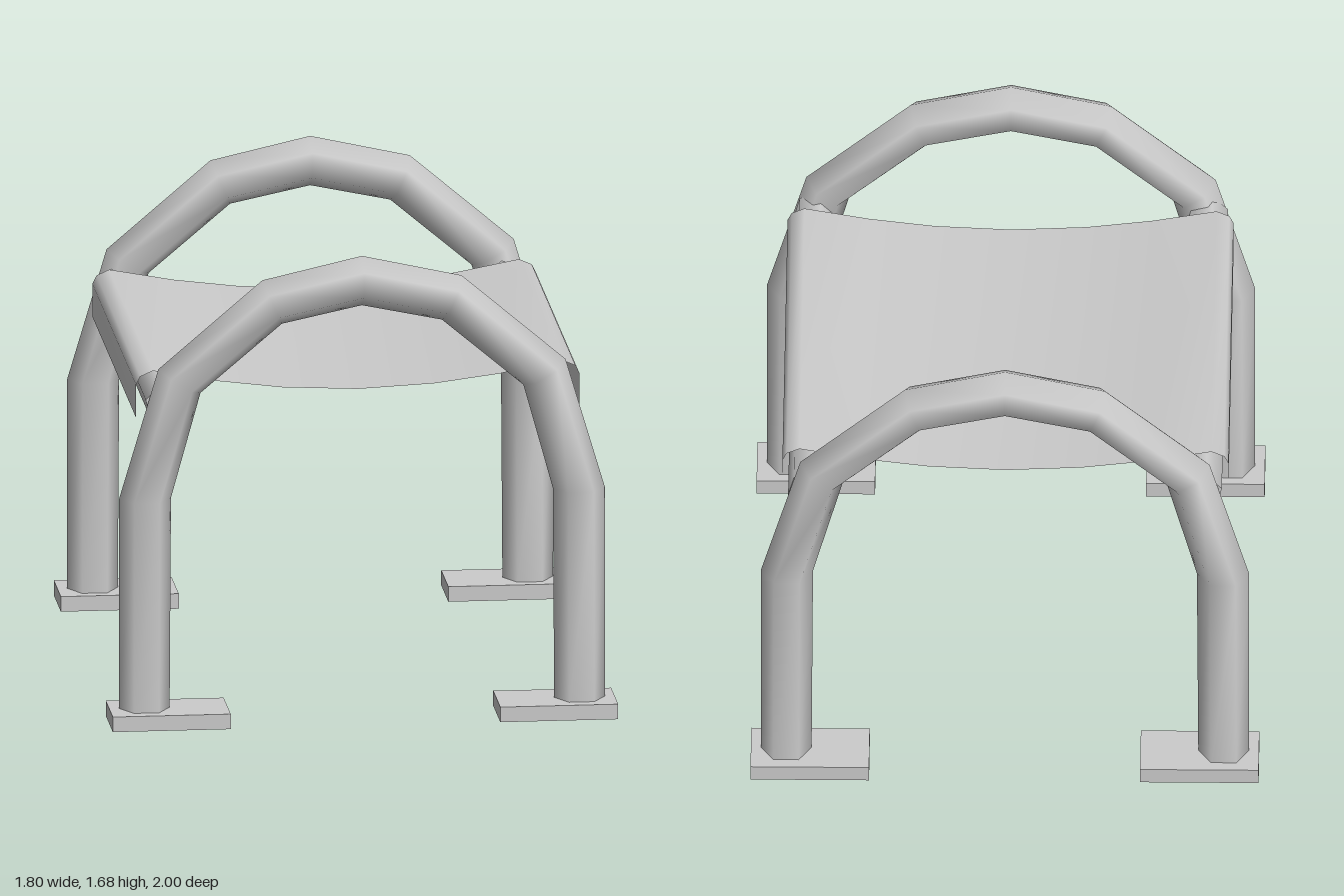
import * as THREE from 'three';

const grey = new THREE.MeshStandardMaterial({ color: 0xcccccc });
const greyDouble = new THREE.MeshStandardMaterial({ color: 0xcccccc, side: THREE.DoubleSide });

function add(group, name, geometry, material, x = 0, y = 0, z = 0) {
  const mesh = new THREE.Mesh(geometry, material);
  mesh.name = name;
  mesh.position.set(x, y, z);
  group.add(mesh);
  return mesh;
}

// Six-sided tube swept over mitred sections: [outer x, outer y, inner x, inner y]
function archGeometry() {
  const half = [
    [0.865, 0.03, 0.685, 0.03],
    [0.865, 0.82, 0.68, 0.82],
    [0.725, 1.29, 0.575, 1.2],
    [0.355, 1.605, 0.285, 1.445],
  ];
  const mirrored = half.map(([a, b, c, d]) => [-a, b, -c, d]).reverse();
  const stations = [...half, [0, 1.685, 0, 1.505], ...mirrored];
  const sides = 6, halfDepth = 0.09;
  const positions = [], index = [];
  stations.forEach(([ox, oy, ix, iy], i) => {
    for (let j = 0; j < sides; j++) {
      const a = (j / sides) * Math.PI * 2, c = Math.cos(a) / 2;
      positions.push(
        (ox + ix) / 2 + (ox - ix) * c,
        (oy + iy) / 2 + (oy - iy) * c,
        Math.sin(a) * halfDepth
      );
      if (i === stations.length - 1) continue;
      const k = (j + 1) % sides;
      const p = i * sides + j, q = i * sides + k;
      index.push(p, p + sides, q, q, p + sides, q + sides);
    }
  });
  const geometry = new THREE.BufferGeometry();
  geometry.setAttribute('position', new THREE.Float32BufferAttribute(positions, 3));
  geometry.setIndex(index);
  geometry.computeVertexNormals();
  return geometry;
}

// Thin sling: sagging in the middle, folded down over both rods
function slingGeometry() {
  const half = [[0.79, 1.08], [0.79, 1.2], [0.775, 1.23], [0.73, 1.25], [0.5, 1.207], [0.27, 1.178]];
  const profile = [...half.map(([x, y]) => [-x, y]), [0, 1.165], ...[...half].reverse()];
  const geometry = new THREE.PlaneGeometry(1, 1.48, profile.length - 1, 1);
  const pos = geometry.attributes.position;
  for (let i = 0; i < pos.count; i++) {
    const [x, y] = profile[i % profile.length];
    pos.setXYZ(i, x, y, -pos.getY(i));
  }
  geometry.computeVertexNormals();
  return geometry;
}

export function createModel() {
  const model = new THREE.Group();
  model.name = 'slingStool';

  const arch = archGeometry();
  const foot = new THREE.BoxGeometry(0.42, 0.055, 0.24);
  const rod = new THREE.CylinderGeometry(0.078, 0.078, 1.72, 6);
  rod.rotateY(Math.PI / 12).rotateX(Math.PI / 2);

  // Front and back arches, each on two foot plates
  for (const [end, sz] of [['front', 1], ['back', -1]]) {
    add(model, end + 'Arch', arch, grey, 0, 0, 0.877 * sz);
    for (const [side, sx] of [['Left', 1], ['Right', -1]]) {
      add(model, end + side + 'Foot', foot, grey, 0.69 * sx, 0.0275, 0.88 * sz);
    }
  }

  // Side rods joining the arches
  for (const [side, sx] of [['left', 1], ['right', -1]]) {
    add(model, side + 'Rod', rod, grey, 0.693 * sx, 1.155, 0);
  }

  add(model, 'slingSeat', slingGeometry(), greyDouble);
  return model;
}
